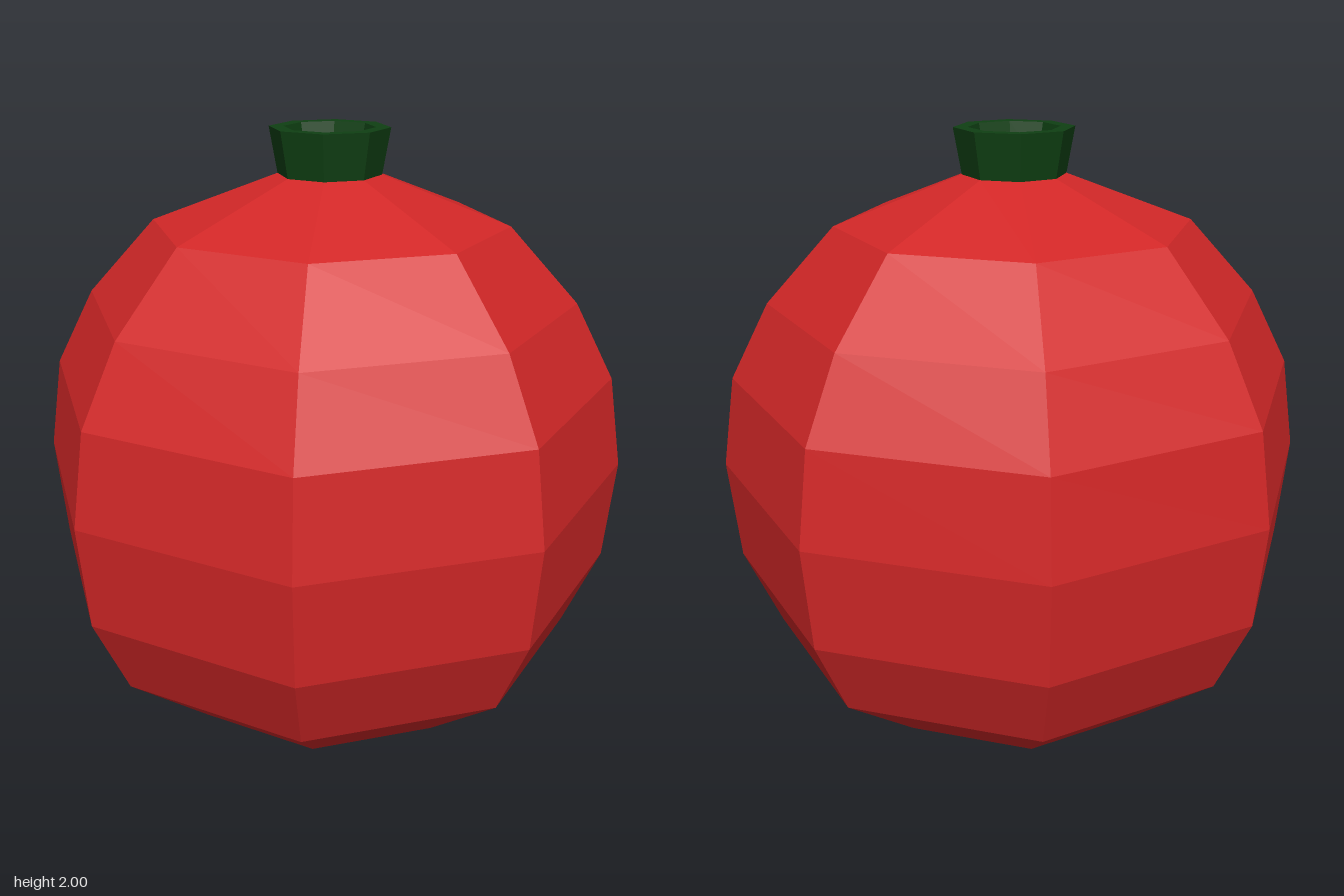
import * as THREE from 'three';

const SIDES = 8;

// Faceted solid of revolution from [radius, height] pairs
function turned(name, profile, material) {
  const points = profile.map(([r, y]) => new THREE.Vector2(r, y));
  const mesh = new THREE.Mesh(new THREE.LatheGeometry(points, SIDES), material);
  mesh.name = name;
  return mesh;
}

export function createModel() {
  const red = new THREE.MeshStandardMaterial({ color: 0xd22727, flatShading: true });
  red.name = 'red skin';
  const green = new THREE.MeshStandardMaterial({ color: 0x0f4013, flatShading: true });
  green.name = 'dark green';

  const group = new THREE.Group();
  group.name = 'fruit';

  // Round body, pointed at the bottom, closed beneath the crown
  group.add(turned('body', [
    [0, 0], [0.52, 0.145], [0.795, 0.365], [0.91, 0.62], [0.94, 0.945],
    [0.895, 1.235], [0.77, 1.475], [0.555, 1.71], [0.16, 1.86], [0, 1.86],
  ], red));

  // Hollow crown: flared outer wall, flat rim, tapered inner wall, floor
  group.add(turned('crown', [
    [0.16, 1.86], [0.185, 2], [0.14, 2], [0.115, 1.875], [0, 1.875],
  ], green));

  return group;
}
